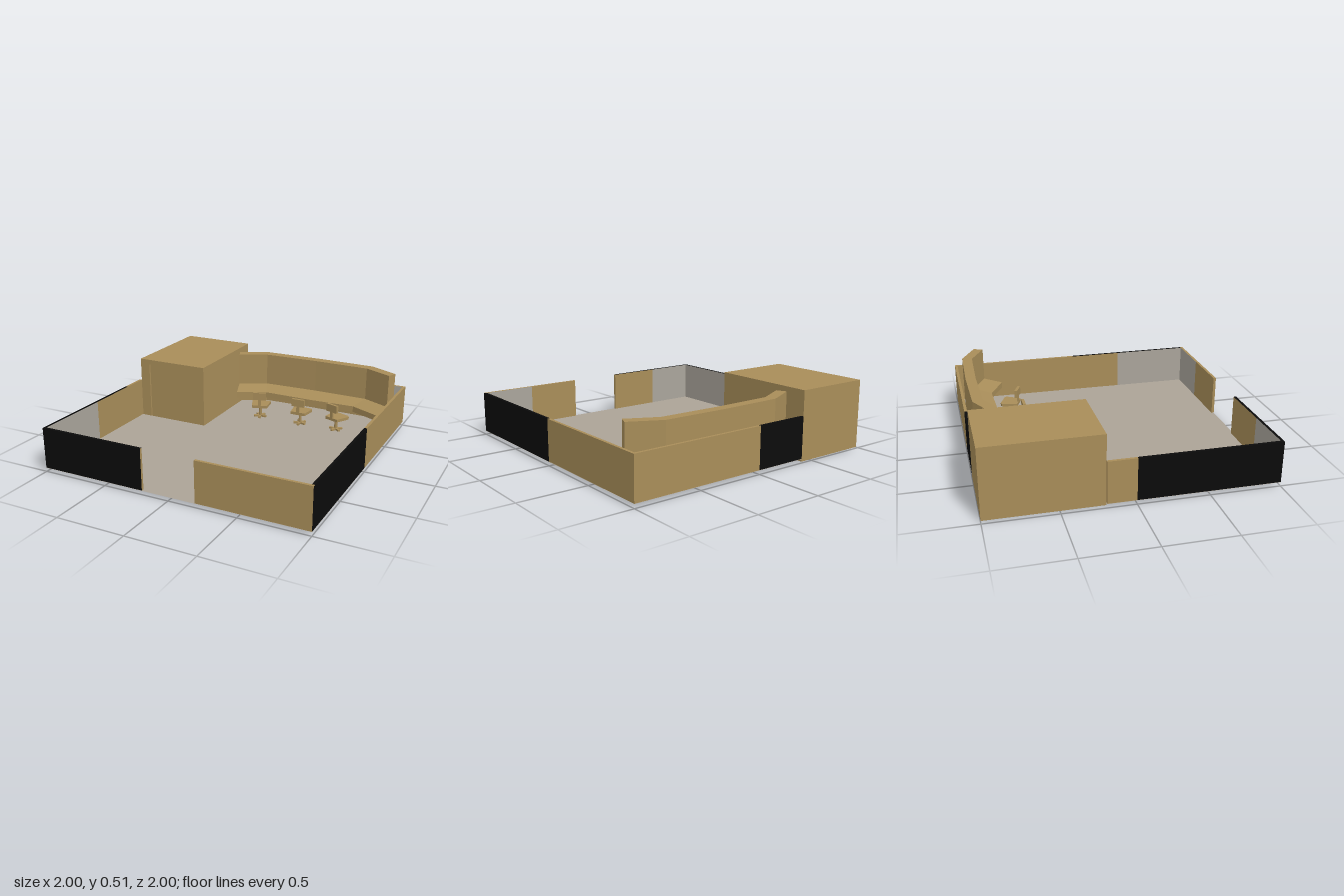
import * as THREE from 'three';

const paint = (name, color) => {
  const m = new THREE.MeshStandardMaterial({ color });
  m.name = name;
  return m;
};

export function createModel() {
  const tan = paint('tan', 0xa88d59);
  const black = paint('black', 0x0b0b0b);
  const floorGray = paint('floorGray', 0xaca396);
  const wallGray = paint('wallGray', 0xaaa59b);
  floorGray.side = THREE.DoubleSide;

  const room = new THREE.Group();
  room.name = 'controlRoom';

  const add = (parent, name, geometry, material) => {
    const mesh = new THREE.Mesh(geometry, material);
    mesh.name = name;
    parent.add(mesh);
    return mesh;
  };
  // Box given by its lower and upper corners
  const box = (parent, name, [x0, y0, z0], [x1, y1, z1], material = tan) => {
    const g = new THREE.BoxGeometry(x1 - x0, y1 - y0, z1 - z0);
    g.translate((x0 + x1) / 2, (y0 + y1) / 2, (z0 + z1) / 2);
    return add(parent, name, g, material);
  };

  // L-shaped floor, open below the booth
  const outline = [[-1, -1], [1, -1], [1, 1], [-0.4, 1], [-0.4, 0.2], [-1, 0.2]];
  const floor = new THREE.ShapeGeometry(new THREE.Shape(outline.map(p => new THREE.Vector2(...p))));
  floor.rotateX(-Math.PI / 2).translate(0, 0.028, 0);
  add(room, 'floor', floor, floorGray);

  // Low walls: each segment has its own outer and inner colour
  const T = 0.02, Y0 = 0.03, Y1 = 0.33;
  const wallX = (name, side, a, b, outer, inner) => {
    const z = side * (1 - T / 2);
    const mats = [b === 1 && side > 0 ? black : tan, a === -1 ? black : tan, outer, tan,
      side > 0 ? outer : inner, side > 0 ? inner : outer];
    box(room, name, [a, Y0, z - T / 2], [b, Y1, z + T / 2], mats);
  };
  const wallZ = (name, side, a, b, outer, inner) => {
    const x = side * (1 - T / 2);
    const mats = [side > 0 ? outer : inner, side > 0 ? inner : outer, outer, tan, tan, tan];
    box(room, name, [x - T / 2, Y0, a], [x + T / 2, Y1, b], mats);
  };
  wallX('frontWall', 1, -1, -0.6, black, wallGray);
  wallX('frontWall', 1, -0.6, -0.2, black, tan);
  wallX('frontWall', 1, 0.2, 0.6, tan, tan);
  wallX('frontWall', 1, 0.6, 1, tan, wallGray);
  wallX('backWall', -1, -0.4, 0, black, tan);
  wallX('backWall', -1, 0, 0.6, tan, tan);
  wallX('backWall', -1, 0.6, 1, tan, wallGray);
  for (const side of [-1, 1]) {
    wallZ('sideWall', side, 0.4, 0.98, black, wallGray);
    wallZ('sideWall', side, 0, 0.4, black, tan);
    wallZ('sideWall', side, side < 0 ? -0.2 : -0.98, 0, tan, tan);
  }

  // Booth: hollow shell with an open underside and a recessed door
  const booth = new THREE.Group();
  booth.name = 'booth';
  room.add(booth);
  const rect = (Type, x0, y0, x1, y1) => new Type(
    [[x0, y0], [x1, y0], [x1, y1], [x0, y1]].map(p => new THREE.Vector2(...p)));
  const face = rect(THREE.Shape, -0.98, 0.01, -0.4, 0.51);
  face.holes.push(rect(THREE.Path, -0.9, 0.015, -0.465, 0.47));
  const frame = new THREE.ExtrudeGeometry(face, { depth: 0.04, bevelEnabled: false });
  frame.translate(0, 0, -0.24);
  add(booth, 'doorFrame', frame, tan);
  box(booth, 'door', [-0.9, 0.015, -0.24], [-0.465, 0.47, -0.215]);
  box(booth, 'threshold', [-0.9, 0, -0.24], [-0.42, 0.01, -0.2]);
  box(booth, 'frontBlock', [-0.98, 0.01, -0.43], [-0.4, 0.51, -0.24]);
  box(booth, 'boothSide', [-0.98, 0.01, -0.98], [-0.96, 0.49, -0.43]);
  box(booth, 'boothSide', [-0.42, 0.01, -0.98], [-0.4, 0.49, -0.43]);
  box(booth, 'boothBack', [-0.98, 0.01, -1], [-0.4, 0.49, -0.98]);
  box(booth, 'boothRoof', [-0.98, 0.49, -1], [-0.4, 0.51, -0.43]);

  // Console: one cross-section carried along five stations (rear, rim, desk edge)
  const half = [
    [[-0.675, -0.84], [-0.645, -0.77], [-0.6, -0.63]],
    [[-0.455, -0.95], [-0.435, -0.875], [-0.38, -0.74]],
    [[0, -0.96], [0, -0.885], [0, -0.73]],
  ];
  const mirrored = half.slice(0, 2).reverse().map(s => s.map(([x, z]) => [-x, z]));
  const stations = [...half, ...mirrored];
  // Each profile corner: which plan point it follows, and its height
  const profile = [[0, 0.07], [0, 0.475], [1, 0.475], [1, 0.22], [2, 0.19], [2, 0.145], [1, 0.145], [1, 0.07]];
  const rings = stations.map(s => profile.map(([k, y]) => [s[k][0] + 0.277, y, s[k][1]]));
  const pos = [];
  const quad = (a, b, c, d) => pos.push(...a, ...b, ...c, ...a, ...c, ...d);
  const n = profile.length;
  for (let i = 0; i < rings.length - 1; i++) {
    for (let j = 0; j < n; j++) {
      const k = (j + 1) % n;
      quad(rings[i][j], rings[i][k], rings[i + 1][k], rings[i + 1][j]);
    }
  }
  const first = rings[0], last = rings[rings.length - 1];
  for (const [a, b, c, d] of [[0, 1, 2, 7], [3, 4, 5, 6]]) {
    quad(first[d], first[c], first[b], first[a]);
    quad(last[a], last[b], last[c], last[d]);
  }
  // Sides were listed clockwise from outside, so reverse every triangle
  for (let t = 0; t < pos.length; t += 9) {
    for (let c = 0; c < 3; c++) {
      [pos[t + 3 + c], pos[t + 6 + c]] = [pos[t + 6 + c], pos[t + 3 + c]];
    }
  }
  const consoleGeo = new THREE.BufferGeometry();
  consoleGeo.setAttribute('position', new THREE.Float32BufferAttribute(pos, 3));
  consoleGeo.computeVertexNormals();
  const consoleTan = tan.clone();
  consoleTan.side = THREE.DoubleSide;
  add(room, 'console', consoleGeo, consoleTan);

  // Swivel chairs facing the console
  const seatShape = new THREE.Shape(
    [[-0.06, -0.06], [0.06, -0.06], [0.078, 0.06], [0.062, 0.074], [-0.062, 0.074], [-0.078, 0.06]]
      .map(p => new THREE.Vector2(...p)));
  const seatGeo = new THREE.ExtrudeGeometry(seatShape, { depth: 0.022, bevelEnabled: false });
  seatGeo.rotateX(-Math.PI / 2).translate(0, 0.122, 0);
  const chairs = [[-0.085, -0.59, 0.27], [0.27, -0.588, 0], [0.572, -0.592, -0.38]];
  for (const [x, z, turn] of chairs) {
    const chair = new THREE.Group();
    chair.name = 'chair';
    chair.position.set(x, 0, z);
    chair.rotation.y = turn;
    room.add(chair);
    add(chair, 'seat', seatGeo, tan);
    box(chair, 'backrest', [-0.052, 0.192, 0.04], [0.052, 0.252, 0.062]);
    box(chair, 'backStem', [-0.012, 0.144, 0.048], [0.012, 0.192, 0.06]);
    const column = new THREE.CylinderGeometry(0.012, 0.012, 0.08, 8);
    add(chair, 'column', column.translate(0, 0.082, 0), tan);
    for (let i = 0; i < 5; i++) {
      const foot = box(chair, 'foot', [-0.009, 0.031, 0], [0.009, 0.046, 0.052]);
      foot.rotation.y = (i * Math.PI * 2) / 5;
    }
  }
  return room;
}
